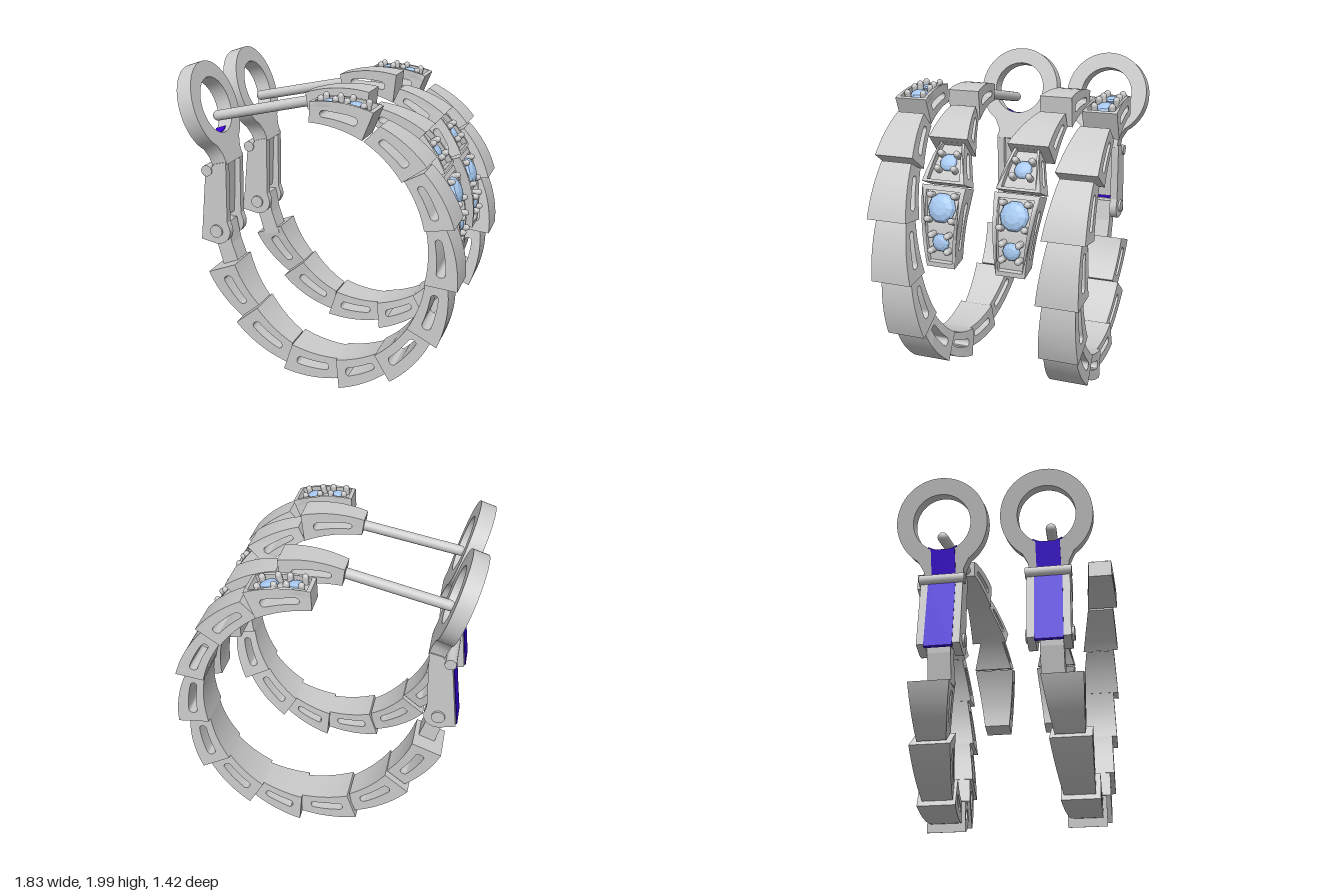
import * as THREE from 'three';
import { toCreasedNormals } from 'three/addons/utils/BufferGeometryUtils.js';

const metal = new THREE.MeshStandardMaterial({ color: 0xcccccc });
const metalTwoSided = new THREE.MeshStandardMaterial({ color: 0xcccccc, side: THREE.DoubleSide });
const gemMat = new THREE.MeshStandardMaterial({ color: 0xa6c8f0, flatShading: true });
const enamel = new THREE.MeshStandardMaterial({ color: 0x3a00dd });

// Each link: [inner x, inner y, outer x, outer y] at the narrow and wide end (clockwise),
// then z centre at both ends, width at both ends, and gems as [position along link, radius]
const mainChain = [
  [[0.03, 1.745, 0.035, 1.865], [0.354, 1.667, 0.42, 1.83], 0.61, 0.605, 0.16, 0.21, [[0.27, 0.05], [0.69, 0.058]]],
  [[0.354, 1.655, 0.45, 1.75], [0.585, 1.44, 0.728, 1.54], 0.59, 0.57, 0.18, 0.25],
  [[0.59, 1.44, 0.705, 1.5], [0.718, 1.16, 0.892, 1.185], 0.565, 0.55, 0.2, 0.26],
  [[0.72, 1.16, 0.835, 1.18], [0.72, 0.82, 0.918, 0.8], 0.545, 0.525, 0.2, 0.26],
  [[0.72, 0.82, 0.855, 0.81], [0.617, 0.51, 0.8, 0.41], 0.52, 0.5, 0.2, 0.25],
  [[0.62, 0.51, 0.77, 0.45], [0.41, 0.285, 0.507, 0.12], 0.495, 0.475, 0.2, 0.25],
  [[0.417, 0.285, 0.48, 0.16], [0.153, 0.2, 0.17, 0.005], 0.47, 0.455, 0.2, 0.25],
  [[0.155, 0.2, 0.16, 0.06], [-0.15, 0.25, -0.21, 0.07], 0.455, 0.44, 0.2, 0.24],
  [[-0.16, 0.245, -0.19, 0.1], [-0.395, 0.46, -0.545, 0.34], 0.435, 0.415, 0.19, 0.25],
  [[-0.4, 0.465, -0.52, 0.37], [-0.555, 0.73, -0.74, 0.66], 0.41, 0.39, 0.18, 0.25],
];
const postChain = [
  [[-0.085, 1.75, -0.1, 1.855], [0.28, 1.7, 0.3, 1.88], 0.325, 0.3, 0.14, 0.2],
  [[0.28, 1.7, 0.32, 1.79], [0.52, 1.53, 0.64, 1.66], 0.29, 0.25, 0.16, 0.25],
  [[0.5, 1.55, 0.6, 1.64], [0.62, 1.36, 0.76, 1.42], 0.235, 0.235, 0.15, 0.27, [[0.52, 0.055]]],
  [[0.64, 1.36, 0.755, 1.4], [0.73, 0.95, 0.85, 0.925], 0.23, 0.22, 0.28, 0.18, [[0.27, 0.09], [0.7, 0.055]]],
];

const lerp = THREE.MathUtils.lerp;

// Point of a link: t along it, s from inner to outer face, w across its width (-0.5 to 0.5)
function linkPoint([a, b, za, zb, wa, wb], t, s, w) {
  const x0 = lerp(a[0], a[2], s), y0 = lerp(a[1], a[3], s);
  const x1 = lerp(b[0], b[2], s), y1 = lerp(b[1], b[3], s);
  const dx = x1 - x0, dy = y1 - y0;
  const bulge = 0.166 * Math.hypot(dx, dy) * 4 * t * (1 - t);
  return new THREE.Vector3(
    lerp(x0, x1, t) - dy * bulge,
    lerp(y0, y1, t) + dx * bulge,
    lerp(za, zb, t) + w * lerp(wa, wb, t));
}

function warp(geo, fn) {
  const p = geo.attributes.position;
  for (let i = 0; i < p.count; i++) {
    const v = fn(p.getX(i), p.getY(i), p.getZ(i));
    p.setXYZ(i, v.x, v.y, v.z);
  }
  geo.deleteAttribute('normal');
  return toCreasedNormals(geo, 0.5);
}

function add(parent, name, geo, mat = metal) {
  const m = new THREE.Mesh(geo, mat);
  m.name = name;
  parent.add(m);
  return m;
}

const extrude = (shape, depth) =>
  new THREE.ExtrudeGeometry(shape, { depth, bevelEnabled: false, curveSegments: 24 });

function rodBetween(parent, name, a, b, r) {
  const d = b.clone().sub(a);
  const rod = add(parent, name, new THREE.CapsuleGeometry(r, d.length(), 6, 20));
  rod.position.copy(a).lerp(b, 0.5);
  rod.quaternion.setFromUnitVectors(new THREE.Vector3(0, 1, 0), d.normalize());
}

// Rectangle with subdivided long edges, x from 0 to 1
function longRect(y0, y1, n = 10) {
  const pts = [];
  for (let i = 0; i <= n; i++) pts.push(new THREE.Vector2(i / n, y0));
  for (let i = n; i >= 0; i--) pts.push(new THREE.Vector2(i / n, y1));
  return pts;
}

function gemSetting(parent, link, t, r) {
  const set = new THREE.Group();
  set.name = 'gemSetting';
  const p = linkPoint(link, t, 0.78, 0);
  const along = linkPoint(link, t + 0.02, 0.78, 0).sub(linkPoint(link, t - 0.02, 0.78, 0)).setZ(0).normalize();
  const out = new THREE.Vector3(-along.y, along.x, 0);
  set.matrixAutoUpdate = true;
  set.quaternion.setFromRotationMatrix(new THREE.Matrix4().makeBasis(along, out, new THREE.Vector3(0, 0, 1)));
  set.position.copy(p);
  const profile = [[0, -0.3], [0.7, -0.3], [1, 0.15], [0.85, 0.38], [0.5, 0.55], [0, 0.6]]
    .map(([x, y]) => new THREE.Vector2(x * r, y * r));
  add(set, 'gem', new THREE.LatheGeometry(profile, 10), gemMat);
  for (const i of [-1, 1]) for (const k of [-1, 1]) {
    const prong = add(set, 'prong', new THREE.CapsuleGeometry(0.02, 0.05, 4, 10));
    prong.position.set(i * (r * 0.72 + 0.008), 0.012, k * (r * 0.72 + 0.012));
  }
  parent.add(set);
}

function buildLink(parent, link) {
  const gems = link[6];
  const top = gems ? 0.76 : 1;
  // Tapered body with a slot through its sides
  const body = new THREE.Shape(longRect(0, top));
  const slot = [];
  for (let i = 0; i <= 8; i++) {
    const a = Math.PI / 2 + (i / 8) * Math.PI;
    slot.push(new THREE.Vector2(0.24 + 0.06 * Math.cos(a), 0.46 + 0.15 * Math.sin(a)));
  }
  for (let i = 1; i < 8; i++) slot.push(new THREE.Vector2(lerp(0.24, 0.76, i / 8), 0.31));
  for (let i = 0; i <= 8; i++) {
    const a = -Math.PI / 2 + (i / 8) * Math.PI;
    slot.push(new THREE.Vector2(0.76 + 0.06 * Math.cos(a), 0.46 + 0.15 * Math.sin(a)));
  }
  for (let i = 1; i < 8; i++) slot.push(new THREE.Vector2(lerp(0.76, 0.24, i / 8), 0.61));
  body.holes.push(new THREE.Path(slot));
  add(parent, 'link', warp(extrude(body, 1), (t, s, w) => linkPoint(link, t, s, w - 0.5)));
  if (!gems) return;
  // Raised rim around the gems
  const rim = new THREE.Shape(longRect(-0.5, 0.5).map((v) => new THREE.Vector2(v.y, v.x)).reverse());
  rim.holes.push(new THREE.Path(longRect(-0.4, 0.4).map((v) => new THREE.Vector2(v.y, lerp(0.06, 0.94, v.x)))));
  add(parent, 'gemRim', warp(extrude(rim, 1 - top), (w, t, s) => linkPoint(link, t, top + s, w)));
  for (const [t, r] of gems) gemSetting(parent, link, t, r);
}

function buildClasp(parent) {
  const clasp = new THREE.Group();
  clasp.name = 'clasp';
  parent.add(clasp);
  const zc = 0.325;

  // Tilted ring plate with a neck
  const R = 0.285, a0 = -0.98;
  const plate = new THREE.Shape();
  plate.moveTo(-0.12, -0.37);
  plate.lineTo(0.12, -0.37);
  plate.lineTo(0.125, -0.3);
  plate.lineTo(R * Math.cos(a0), R * Math.sin(a0));
  plate.absarc(0, 0, R, a0, Math.PI - a0, false);
  plate.lineTo(-0.125, -0.3);
  plate.holes.push(new THREE.Path().absarc(0, 0, 0.18, 0, Math.PI * 2, true));
  const ring = new THREE.Group();
  ring.name = 'ringPlate';
  ring.position.set(-0.776, 1.709, zc);
  const up = new THREE.Vector3(-0.312, 0.95, 0).normalize();
  const out = new THREE.Vector3(up.y, -up.x, 0);
  ring.quaternion.setFromRotationMatrix(new THREE.Matrix4().makeBasis(new THREE.Vector3(0, 0, -1), up, out));
  const pg = extrude(plate, 0.1).translate(0, 0, -0.05);
  pg.deleteAttribute('normal');
  add(ring, 'ring', toCreasedNormals(pg, 0.5));
  // Coloured inlay on the back of the neck and the lower wall of the hole
  add(ring, 'neckInlay', new THREE.BoxGeometry(0.15, 0.19, 0.02), enamel).position.set(0, -0.265, -0.046);
  const lip = new THREE.Shape();
  lip.absarc(0, 0, 0.182, -2.1, -1.04, false);
  lip.absarc(0, 0, 0.174, -1.04, -2.1, true);
  add(ring, 'holeInlay', extrude(lip, 0.07).translate(0, 0, -0.055), enamel);
  clasp.add(ring);

  // Lever: two cheeks with a thinner web between
  const cheek = new THREE.Shape();
  cheek.moveTo(-0.81, 0.86);
  cheek.lineTo(-0.71, 0.838);
  cheek.absarc(-0.695, 0.925, 0.087, -1.6, 0.25, false);
  cheek.lineTo(-0.625, 0.99);
  cheek.lineTo(-0.618, 1.39);
  cheek.lineTo(-0.7, 1.37);
  cheek.lineTo(-0.765, 1.29);
  for (const z of [zc - 0.13, zc + 0.08])
    add(clasp, 'leverCheek', extrude(cheek, 0.05).translate(0, 0, z));
  const web = new THREE.Shape([[-0.795, 1.0], [-0.67, 1.0], [-0.65, 1.38], [-0.7, 1.37], [-0.755, 1.29]]
    .map(([x, y]) => new THREE.Vector2(x, y)));
  add(clasp, 'leverWeb', extrude(web, 0.17).translate(0, 0, zc - 0.085));
  const inlay = new THREE.Shape([[-0.818, 0.845], [-0.79, 0.845], [-0.745, 1.29], [-0.768, 1.29]]
    .map(([x, y]) => new THREE.Vector2(x, y)));
  add(clasp, 'leverInlay', extrude(inlay, 0.17).translate(0, 0, zc - 0.085), enamel);

  // Cross bar and hinge pin
  for (const [name, x, y, r, len] of [['crossBar', -0.75, 1.325, 0.036, 0.28], ['hingePin', -0.7, 0.925, 0.042, 0.29]]) {
    const pin = add(clasp, name, new THREE.CylinderGeometry(r, r, len, 20));
    pin.rotation.x = Math.PI / 2;
    pin.position.set(x, y, zc);
  }

  // Tongue joining the hinge to the first link
  const tongue = new THREE.Shape([[-0.745, 0.96], [-0.73, 0.84], [-0.68, 0.66], [-0.57, 0.68], [-0.62, 0.83], [-0.645, 0.97]]
    .map(([x, y]) => new THREE.Vector2(x, y)));
  add(clasp, 'hingeTongue', extrude(tongue, 0.14).translate(0, 0, zc - 0.06), metalTwoSided);
}

function buildEarring(name) {
  const g = new THREE.Group();
  g.name = name;
  for (const [chainName, chain] of [['mainChain', mainChain], ['postChain', postChain]]) {
    const c = new THREE.Group();
    c.name = chainName;
    for (const link of chain) buildLink(c, link);
    g.add(c);
  }
  buildClasp(g);
  rodBetween(g, 'post', new THREE.Vector3(-0.71, 1.66, 0.342), new THREE.Vector3(-0.08, 1.795, 0.315), 0.033);
  return g;
}

export function createModel() {
  const model = new THREE.Group();
  model.name = 'earrings';
  const front = buildEarring('frontEarring');
  const back = buildEarring('backEarring');
  back.scale.z = -1;
  model.add(front, back);
  return model;
}
